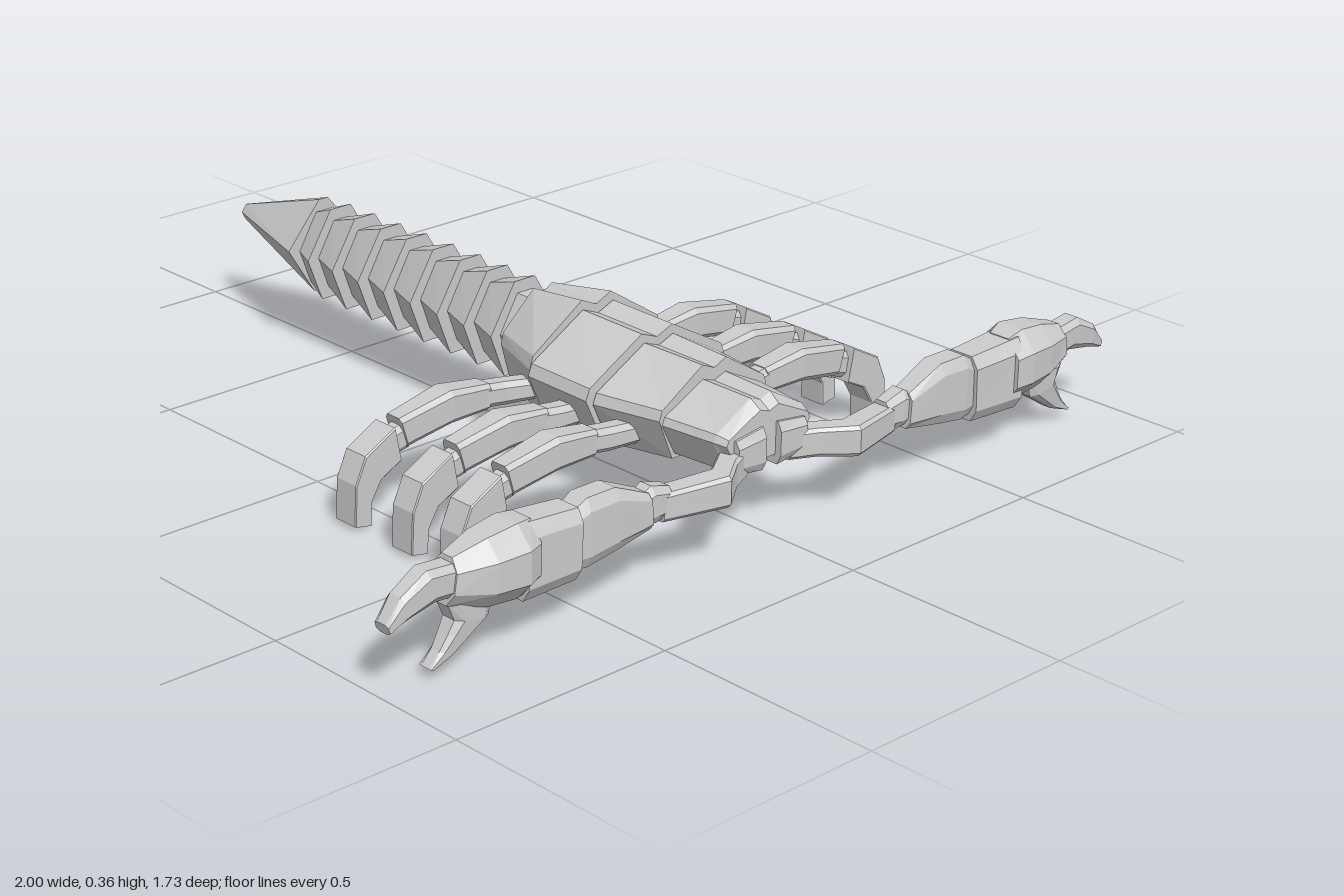
import * as THREE from 'three';

const material = new THREE.MeshStandardMaterial({ color: 0xcccccc, flatShading: true, side: THREE.DoubleSide });

// Skin a series of equal-sized rings, close both ends and keep faces outward
function loft(name, rings) {
  const n = rings[0].length;
  const tris = [];
  for (let i = 0; i < rings.length - 1; i++) {
    for (let j = 0; j < n; j++) {
      const k = (j + 1) % n;
      const a = rings[i][j], b = rings[i][k], c = rings[i + 1][k], d = rings[i + 1][j];
      tris.push([a, b, c], [a, c, d]);
    }
  }
  const middle = (r) => r.reduce((s, p) => s.add(p), new THREE.Vector3()).divideScalar(n);
  const first = rings[0], last = rings[rings.length - 1];
  const m0 = middle(first), m1 = middle(last);
  for (let j = 0; j < n; j++) {
    const k = (j + 1) % n;
    tris.push([m0, first[k], first[j]], [m1, last[j], last[k]]);
  }
  const cross = new THREE.Vector3();
  const volume = tris.reduce((s, [a, b, c]) => s + a.dot(cross.crossVectors(b, c)), 0);
  if (volume < 0) tris.forEach((t) => t.reverse());
  const geometry = new THREE.BufferGeometry().setFromPoints(tris.flat());
  geometry.computeVertexNormals();
  const mesh = new THREE.Mesh(geometry, material);
  mesh.name = name;
  return mesh;
}

// Mirrored half profile: [fraction of half width, fraction of height], top to bottom
const SHELL = [[0, 0.92], [0.22, 1], [0.95, 0.62], [1, 0.5], [0.75, 0]];
const TAIL = [[0.3, 1], [1, 0.48], [0.6, 0]];
const STING = [[0.12, 1], [1, 0.52], [0.3, 0]];

// Body segment: sections are [z, halfWidth, bottom, top]
function segment(name, profile, sections) {
  return loft(name, sections.map(([z, w, y0, y1]) => {
    const half = profile.map(([u, v]) => new THREE.Vector3(u * w, y0 + v * (y1 - y0), z));
    const other = half.filter((p) => p.x > 0).reverse().map((p) => new THREE.Vector3(-p.x, p.y, z));
    return [...half, ...other];
  }));
}

// Limb piece: sections are [xBottom, yBottom, xTop, yTop, zMin, zMax], with bevelled corners
function limb(name, sections, place, bevel = 0.22) {
  const b = bevel;
  const outline = [[b, 0], [1 - b, 0], [1, b], [1, 1 - b], [1 - b, 1], [b, 1], [0, 1 - b], [0, b]];
  return loft(name, sections.map(([xb, yb, xt, yt, z0, z1]) => outline.map(([u, v]) =>
    place(new THREE.Vector3(xb + (xt - xb) * v, yb + (yt - yb) * v, z0 + (z1 - z0) * u)))));
}

function addBody(group) {
  group.add(
    segment('head', SHELL, [[0.77, 0.115, 0.16, 0.265], [0.745, 0.125, 0.15, 0.283], [0.61, 0.142, 0.15, 0.285]]),
    segment('frontShell', SHELL, [[0.62, 0.148, 0.14, 0.315], [0.465, 0.178, 0.13, 0.317]]),
    segment('middleShell', SHELL, [[0.46, 0.192, 0.13, 0.335], [0.29, 0.19, 0.13, 0.337]]),
    segment('rearShell', SHELL, [[0.285, 0.182, 0.13, 0.356], [0.125, 0.115, 0.135, 0.333]]),
    segment('shellCore', SHELL, [[0.64, 0.12, 0.15, 0.27], [0.2, 0.12, 0.15, 0.29]]),
    segment('tailRoot', TAIL, [[0.14, 0.068, 0.15, 0.305], [0.05, 0.068, 0.15, 0.305]]),
  );
  // Overlapping tail rings, each flared at its front
  const stops = [0.07, -0.015, -0.1, -0.187, -0.274, -0.36, -0.447, -0.53, -0.6];
  for (let i = 0; i < stops.length - 1; i++) {
    group.add(segment('tailRing', TAIL, [
      [stops[i], 0.094, 0.13, 0.332],
      [stops[i + 1] - 0.008, 0.062, 0.16, 0.302],
    ]));
  }
  group.add(segment('stinger', STING, [[-0.59, 0.1, 0.125, 0.336], [-0.87, 0.014, 0.215, 0.25]]));
}

// Three-part arching leg ending in a downturned foot
function addLeg(group, side, z, rootZ) {
  const place = (p) => p.setX(p.x * side);
  const leg = new THREE.Group();
  leg.name = 'leg';
  leg.add(
    limb('hip', [
      [0.12, 0.155, 0.12, 0.2, rootZ - 0.025, rootZ + 0.025],
      [0.2, 0.155, 0.2, 0.205, z - 0.018, z + 0.032],
      [0.255, 0.16, 0.255, 0.21, z - 0.024, z + 0.026],
    ], place),
    limb('thigh', [
      [0.24, 0.155, 0.235, 0.21, z - 0.027, z + 0.027],
      [0.34, 0.155, 0.34, 0.225, z - 0.033, z + 0.033],
      [0.45, 0.135, 0.47, 0.2, z - 0.025, z + 0.025],
    ], place, 0.15),
    limb('knee', [
      [0.44, 0.13, 0.46, 0.185, z - 0.02, z + 0.02],
      [0.49, 0.12, 0.51, 0.17, z - 0.02, z + 0.02],
    ], place),
    limb('foot', [
      [0.475, 0.115, 0.49, 0.19, z - 0.031, z + 0.031],
      [0.525, 0.09, 0.565, 0.15, z - 0.031, z + 0.031],
      [0.55, 0.05, 0.59, 0.095, z - 0.031, z + 0.031],
      [0.553, 0, 0.594, 0.008, z - 0.031, z + 0.031],
    ], place, 0.04),
  );
  group.add(leg);
}

// Pincer arm; the hand is turned half round on the opposite side
function addArm(group, side) {
  const place = (p) => p.setX(p.x * side);
  const turn = (p) => p.set(p.x * side, p.y, 0.787 + (p.z - 0.787) * side);
  const arm = new THREE.Group();
  arm.name = 'pincerArm';
  arm.add(
    limb('mouthPart', [
      [0.02, 0.14, 0.02, 0.23, 0.74, 0.785],
      [0.095, 0.15, 0.095, 0.22, 0.74, 0.785],
    ], place),
    limb('shoulder', [
      [0.06, 0.135, 0.06, 0.195, 0.71, 0.775],
      [0.115, 0.135, 0.115, 0.195, 0.745, 0.8],
      [0.18, 0.132, 0.18, 0.197, 0.79, 0.848],
      [0.32, 0.132, 0.32, 0.19, 0.762, 0.812],
    ], place, 0.12),
    limb('elbow', [
      [0.3, 0.14, 0.3, 0.2, 0.767, 0.812],
      [0.335, 0.135, 0.35, 0.215, 0.764, 0.815],
      [0.375, 0.14, 0.375, 0.2, 0.767, 0.812],
    ], place),
    limb('forearm', [
      [0.355, 0.13, 0.36, 0.205, 0.76, 0.82],
      [0.45, 0.115, 0.45, 0.245, 0.755, 0.825],
      [0.52, 0.105, 0.52, 0.245, 0.755, 0.825],
      [0.57, 0.11, 0.57, 0.215, 0.762, 0.815],
    ], place, 0.18),
    limb('wrist', [
      [0.55, 0.092, 0.545, 0.235, 0.742, 0.828],
      [0.68, 0.09, 0.68, 0.245, 0.74, 0.838],
    ], turn, 0.18),
    limb('palm', [
      [0.655, 0.105, 0.655, 0.245, 0.735, 0.845],
      [0.7, 0.105, 0.7, 0.253, 0.712, 0.85],
      [0.77, 0.11, 0.77, 0.245, 0.72, 0.84],
      [0.855, 0.135, 0.84, 0.225, 0.748, 0.815],
    ], turn, 0.28),
    limb('upperFinger', [
      [0.83, 0.15, 0.84, 0.215, 0.752, 0.808],
      [0.885, 0.155, 0.905, 0.222, 0.75, 0.804],
      [0.95, 0.142, 0.965, 0.19, 0.75, 0.798],
      [0.995, 0.128, 1, 0.148, 0.752, 0.79],
    ], turn, 0.2),
    limb('lowerFinger', [
      [0.74, 0.135, 0.85, 0.135, 0.757, 0.812],
      [0.755, 0.085, 0.835, 0.1, 0.757, 0.81],
      [0.76, 0.055, 0.845, 0.07, 0.76, 0.805],
      [0.76, 0.045, 0.85, 0.06, 0.76, 0.803],
      [0.885, 0.018, 0.893, 0.022, 0.765, 0.798],
    ].map((s, i) => (i < 2 ? s : [
      null, null,
      [0.795, 0.06, 0.85, 0.075, 0.76, 0.805],
      [0.835, 0.035, 0.868, 0.048, 0.763, 0.8],
      s,
    ][i])), turn, 0.2),
  );
  group.add(arm);
}

export function createModel() {
  const model = new THREE.Group();
  model.name = 'scorpion';
  addBody(model);
  for (const side of [1, -1]) {
    addArm(model, side);
    [[0.205, 0.235], [0.375, 0.385], [0.515, 0.53]].forEach(([z, rootZ]) => addLeg(model, side, z, rootZ));
  }
  return model;
}
